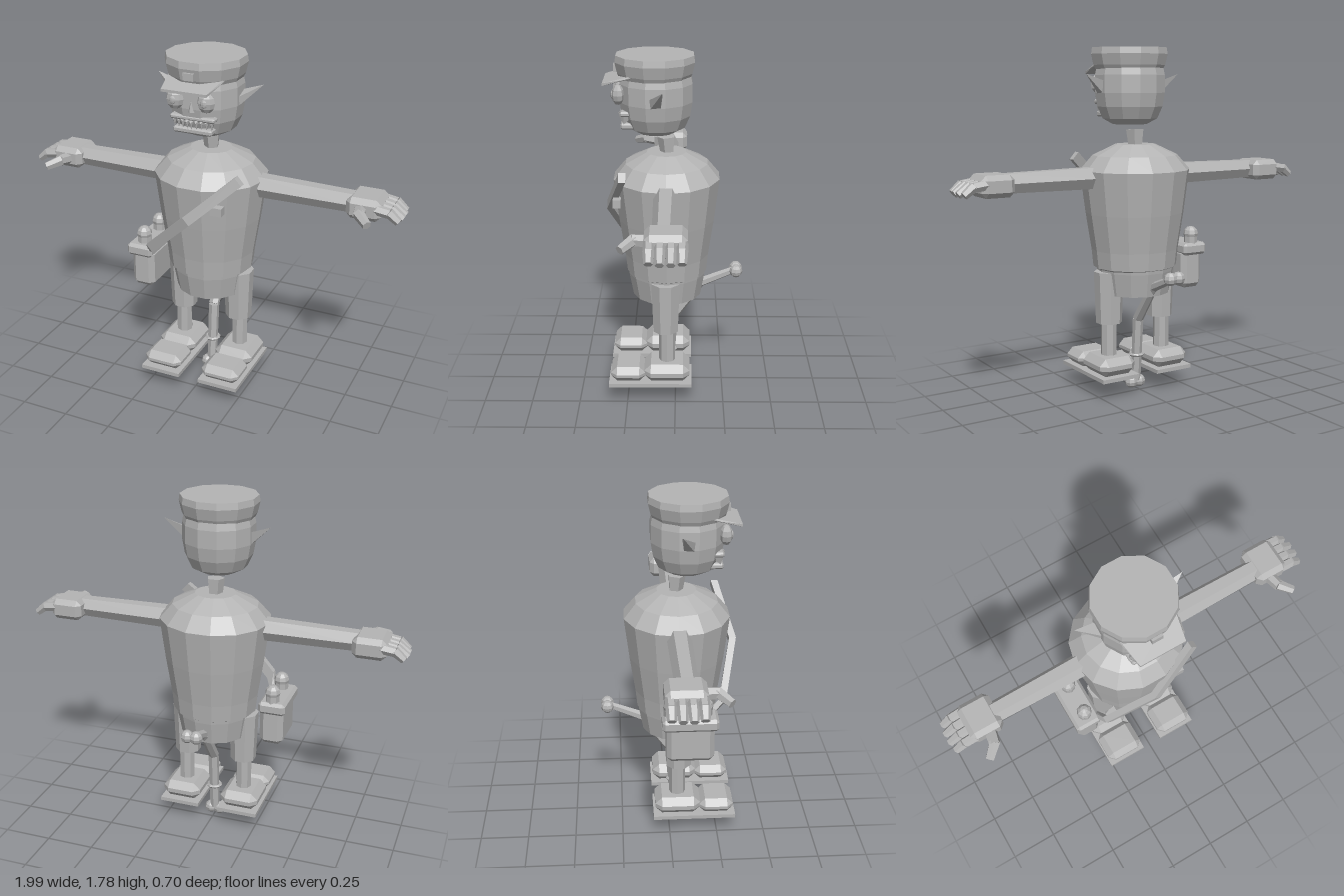
import * as THREE from 'three';
import { ConvexGeometry } from 'three/addons/geometries/ConvexGeometry.js';

const V = (x, y, z) => new THREE.Vector3(x, y, z);
const CZ = 0.045; // depth of the body axis

export function createModel() {
  const root = new THREE.Group();
  const grey = new THREE.MeshStandardMaterial({ color: 0xb4b4b4 });
  grey.name = 'grey';

  // Faceted mesh from any geometry
  const add = (name, geo, x = 0, y = 0, z = 0) => {
    const g = geo.index ? geo.toNonIndexed() : geo;
    g.computeVertexNormals();
    const m = new THREE.Mesh(g, grey);
    m.name = name;
    m.position.set(x, y, z);
    root.add(m);
    return m;
  };
  const hull = (name, pts) => add(name, new ConvexGeometry(pts.map((p) => V(...p))));
  const lathe = (name, pts, sides, x, z, sx = 1) => {
    const g = new THREE.LatheGeometry(pts.map(([r, y]) => new THREE.Vector2(r, y)), sides, Math.PI / sides);
    return add(name, g.scale(sx, 1, 1), x, 0, z);
  };
  // Tapered rod between two points
  const rod = (name, a, b, ra, rb, sides = 6) => {
    const p = V(...a), q = V(...b), d = q.clone().sub(p);
    const m = add(name, new THREE.CylinderGeometry(rb, ra, d.length(), sides));
    m.position.copy(p).add(q).multiplyScalar(0.5);
    m.quaternion.setFromUnitVectors(V(0, 1, 0), d.normalize());
    return m;
  };
  // Box with chamfered edges, given by its limits
  const chamfer = (name, x0, x1, y0, y1, z0, z1, b) => {
    const pts = [];
    for (const [x, i] of [[x0, b], [x1, -b]])
      for (const [y, j] of [[y0, b], [y1, -b]])
        for (const [z, k] of [[z0, b], [z1, -b]])
          pts.push([x, y + j, z + k], [x + i, y, z + k], [x + i, y + j, z]);
    return hull(name, pts);
  };
  const ball = (name, r, x, y, z, sx = 1, sy = 1, sz = 1) =>
    add(name, new THREE.SphereGeometry(r, 8, 6).scale(sx, sy, sz), x, y, z);

  // Body
  lathe('tunic', [[0.19, 0.66], [0.208, 0.67], [0.217, 0.76], [0.245, 0.95], [0.272, 1.17],
    [0.21, 1.245], [0.1, 1.3], [0, 1.3]], 14, 0, CZ, 1.06);
  lathe('shorts', [[0, 0.53], [0.178, 0.53], [0.2, 0.65], [0.205, 0.7]], 14, 0, CZ, 1.0);
  rod('neck', [0, 1.28, 0.04], [0, 1.375, 0.045], 0.035, 0.047, 5);

  // Head
  lathe('head', [[0, 1.4], [0.09, 1.4], [0.145, 1.43], [0.172, 1.49], [0.184, 1.56], [0.184, 1.65],
    [0.175, 1.69], [0, 1.7]], 12, 0, 0.095);
  lathe('cap', [[0, 1.68], [0.178, 1.68], [0.188, 1.7], [0.201, 1.755], [0.196, 1.788], [0, 1.788]], 12, 0, 0.1);
  hull('capBrim', [[-0.145, 1.7, 0.19], [0.145, 1.7, 0.19], [-0.14, 1.69, 0.24], [0.14, 1.69, 0.24],
    [-0.115, 1.655, 0.352], [0.115, 1.655, 0.352], [-0.145, 1.712, 0.19], [0.145, 1.712, 0.19],
    [-0.115, 1.668, 0.352], [0.115, 1.668, 0.352]]);
  add('capBadge', new THREE.BoxGeometry(0.055, 0.035, 0.03), 0, 1.722, 0.288);
  hull('nose', [[-0.025, 1.54, 0.26], [0.025, 1.54, 0.26], [0, 1.63, 0.265], [0, 1.55, 0.29]]);
  chamfer('upperLip', -0.115, 0.115, 1.5, 1.525, 0.2, 0.27, 0.008);
  chamfer('lowerLip', -0.1, 0.1, 1.435, 1.465, 0.2, 0.268, 0.008);
  for (let i = -4; i <= 4; i++) {
    const x = i * 0.024, z = 0.272 - Math.abs(i) * 0.005;
    hull('tooth', [[x - 0.011, 1.505, z], [x + 0.011, 1.505, z], [x, 1.46, z], [x, 1.495, z + 0.012],
      [x, 1.495, z - 0.04]]);
  }

  // Strap: two straight runs meeting over the belly
  const strapEnds = [[0.24, 1.235, 0.24], [0, 1.015, 0.315], [-0.24, 0.79, 0.245]];
  const section = ([x, y, z]) => [-1, 1].flatMap((s) =>
    [[x + s * 0.017, y - s * 0.019, z], [x + s * 0.017, y - s * 0.019, z + 0.035]]);
  for (let i = 0; i < 2; i++) hull('strap', [...section(strapEnds[i]), ...section(strapEnds[i + 1])]);
  hull('strapToBag', [...section(strapEnds[2]),
    [-0.29, 0.73, 0.16], [-0.29, 0.73, 0.2], [-0.27, 0.73, 0.16], [-0.27, 0.73, 0.2]]);
  add('button', new THREE.BoxGeometry(0.06, 0.042, 0.04), 0.14, 1.075, 0.29);

  // Side bag with bottles
  chamfer('bag', -0.385, -0.26, 0.52, 0.73, -0.025, 0.215, 0.025);
  chamfer('bagLid', -0.4, -0.258, 0.7, 0.765, -0.045, 0.235, 0.015);
  for (const z of [0.0, 0.17]) {
    rod('bottleNeck', [-0.325, 0.75, z], [-0.325, 0.8, z], 0.036, 0.036, 8);
    ball('bottleTop', 0.04, -0.325, 0.812, z);
  }

  for (const s of [-1, 1]) {
    // Face details
    ball('eye', 0.045, s * 0.08, 1.605, 0.278, 1, 1.12, 0.7);
    ball('pupil', 0.016, s * 0.08, 1.605, 0.306, 1, 1.3, 0.5);
    hull('ear', [[s * 0.165, 1.545, 0.125], [s * 0.165, 1.55, 0.07], [s * 0.17, 1.62, 0.06],
      [s * 0.175, 1.6, 0.125], [s * 0.277, 1.655, 0.06]]);

    // Arm and hand
    rod('arm', [s * 0.22, 1.138, 0.045], [s * 0.75, 1.138, 0.045], 0.062, 0.054);
    chamfer('palm', s > 0 ? 0.72 : -0.89, s > 0 ? 0.89 : -0.72, 1.08, 1.188, -0.06, 0.13, 0.025);
    for (let i = 0; i < 4; i++) {
      const z = -0.035 + i * 0.047, end = 0.985 - (i === 0 || i === 3 ? 0.01 : 0);
      rod('finger', [s * 0.86, 1.145, z], [s * 0.93, 1.135, z], 0.027, 0.025);
      rod('fingerTip', [s * 0.925, 1.14, z], [s * end, 1.1, z], 0.026, 0.02);
    }
    rod('thumb', [s * 0.79, 1.13, 0.1], [s * 0.805, 1.14, 0.185], 0.032, 0.028);
    rod('thumbTip', [s * 0.8, 1.14, 0.175], [s * 0.86, 1.115, 0.232], 0.028, 0.022);

    // Leg and boot
    add('trouserLeg', new THREE.CylinderGeometry(0.078, 0.068, 0.27, 8, 1, false, Math.PI / 8),
      s * 0.157, 0.515, 0.05);
    rod('shin', [s * 0.163, 0.18, 0.043], [s * 0.163, 0.4, 0.043], 0.042, 0.042, 8);
    const x0 = s * 0.163 - 0.104, x1 = s * 0.163 + 0.104;
    chamfer('bootHeel', x0, x1, 0.12, 0.213, -0.075, 0.162, 0.035);
    chamfer('bootToe', x0, x1, 0.12, 0.2, 0.155, 0.335, 0.032);
    add('sole', new THREE.BoxGeometry(0.216, 0.02, 0.43), s * 0.163, 0.11, 0.13);

    // Paired knobs at both ends of the tail
    ball('tailTopKnob', 0.034, s * 0.024, 0.655, -0.315);
    ball('tailBottomKnob', 0.034, s * 0.024, 0.038, 0.045);
  }

  // Bent tail with a ring
  const bends = [[0, 0.65, -0.3], [0, 0.58, -0.13], [0, 0.385, 0.015], [0, 0.05, 0.04]];
  for (let i = 0; i < 3; i++) rod('tail', bends[i], bends[i + 1], [0.019, 0.025, 0.028][i], [0.025, 0.028, 0.026][i]);
  add('tailRing', new THREE.TorusGeometry(0.033, 0.009, 5, 10).rotateX(Math.PI / 2), 0, 0.19, 0.032);

  return root;
}
